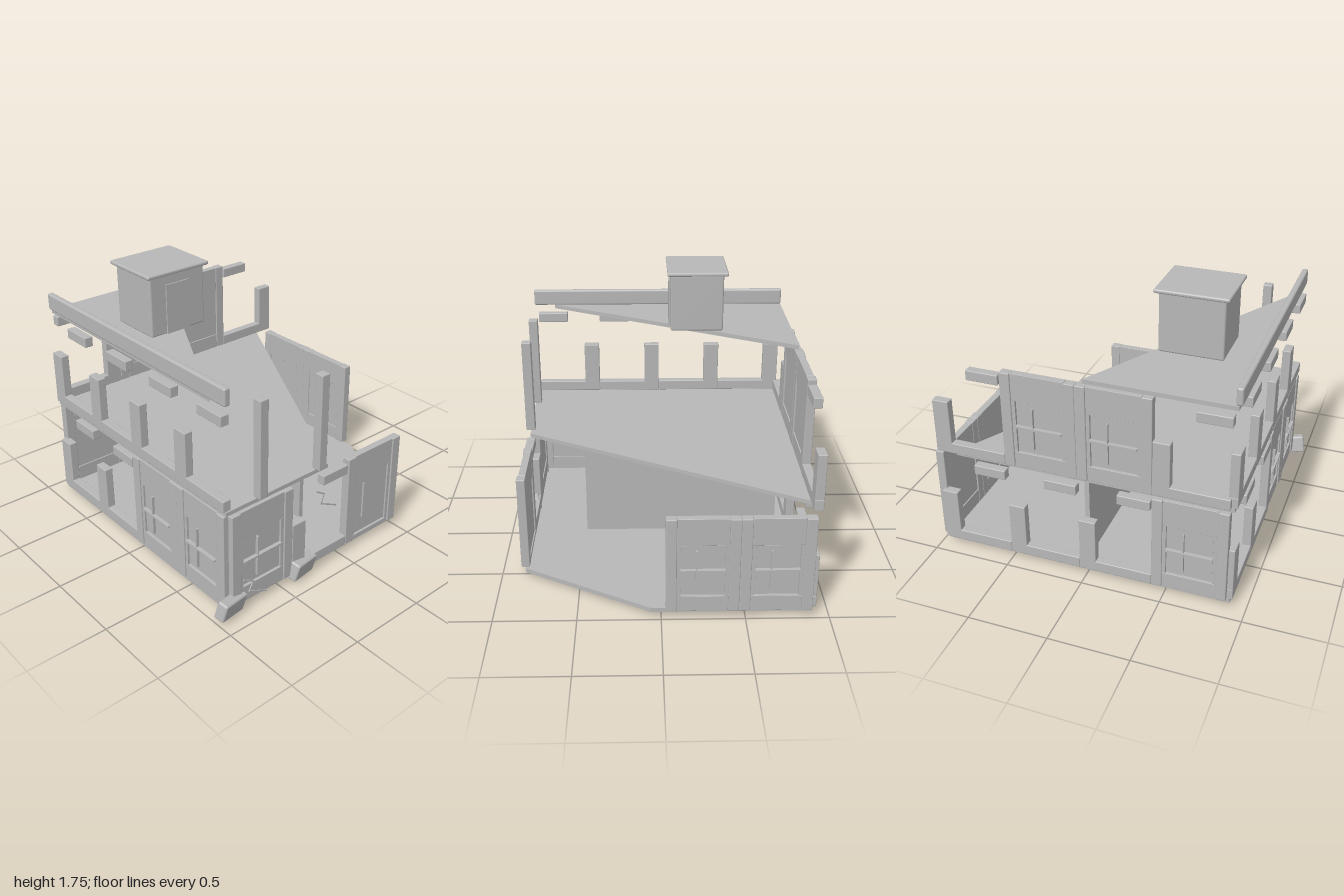
import * as THREE from 'three';
import { RoundedBoxGeometry } from 'three/addons/geometries/RoundedBoxGeometry.js';

const concrete = new THREE.MeshStandardMaterial({ color: 0xb8b8b8 });
concrete.name = 'concrete grey';

// Softly bevelled block, given by centre and size
function block(parent, name, [x, y, z], [w, h, d], bevel = 0.005) {
  const geo = bevel
    ? new RoundedBoxGeometry(w, h, d, 2, Math.min(bevel, w * 0.45, h * 0.45, d * 0.45))
    : new THREE.BoxGeometry(w, h, d);
  const mesh = new THREE.Mesh(geo, concrete);
  mesh.name = name;
  mesh.position.set(x, y, z);
  parent.add(mesh);
  return mesh;
}

// Floor plate from an outline of [x, z] points
function slab(parent, name, outline, y, thick) {
  const shape = new THREE.Shape(outline.map(([x, z]) => new THREE.Vector2(x, -z)));
  const geo = new THREE.ExtrudeGeometry(shape, { depth: thick, bevelEnabled: false });
  geo.rotateX(-Math.PI / 2);
  const mesh = new THREE.Mesh(geo, concrete);
  mesh.name = name;
  mesh.position.y = y;
  parent.add(mesh);
}

const WALL = 0.055, STOREY = 0.62, PIER = 0.065;

// Bay types; local x runs rightwards seen from outside, z points outwards
const bays = {
  window(g, w) { framedBay(g, w, 0.1, true); },
  door(g, w) { framedBay(g, w, 0.03, false); },
  ruin(g, w) {
    block(g, 'brokenSill', [0, 0.035, 0], [w, 0.07, WALL]);
    block(g, 'brokenPier', [-w / 2 + 0.054, 0.177, 0], [0.105, 0.354, WALL]);
    block(g, 'hangingLintel', [w / 2 - 0.112, 0.562, 0], [0.205, 0.064, WALL]);
  },
  post(g) {
    block(g, 'loosePost', [0, STOREY / 2, 0], [0.06, STOREY, 0.06]);
  },
};

// Complete bay: two piers, spandrel, header and a recessed infill
function framedBay(g, w, sill, isWindow) {
  const inner = w - 2 * PIER, top = 0.445, mid = (sill + top) / 2, high = top - sill;
  for (const s of [-1, 1]) {
    block(g, 'pier', [s * (w - PIER) / 2, STOREY / 2, 0], [PIER, STOREY, WALL]);
  }
  block(g, 'spandrel', [0, sill / 2, -0.003], [inner, sill, 0.045], 0.002);
  block(g, 'header', [0, (STOREY + top) / 2, -0.003], [inner, STOREY - top, 0.045], 0.002);
  block(g, 'infill', [0, mid, -0.008], [inner, high, 0.02], 0);
  // Side jambs around the opening
  for (const s of [-1, 1]) {
    block(g, 'jamb', [s * (inner / 2 - 0.011), mid, 0.006], [0.022, high, 0.025], 0);
  }
  if (isWindow) {
    block(g, 'glazing', [0, mid, 0.004], [inner - 0.05, high - 0.015, 0.008], 0);
    block(g, 'crossBar', [0, mid + 0.005, 0.018], [inner - 0.044, 0.012, 0.028], 0);
    block(g, 'uprightBar', [-0.037, mid, 0.014], [0.01, 0.27, 0.024], 0);
  } else {
    block(g, 'doorLeaf', [0, mid, 0.004], [inner - 0.05, high - 0.01, 0.012], 0);
    block(g, 'doorBar', [-0.075, 0.265, 0.014], [0.009, 0.25, 0.016], 0);
  }
}

function wall(parent, name, [x, y, z], turn, bayWidth, types) {
  const g = new THREE.Group();
  g.name = name;
  g.position.set(x, y, z);
  g.rotation.y = turn;
  types.forEach((type, i) => {
    if (!type) return;
    const bay = new THREE.Group();
    bay.name = type + 'Bay';
    bay.position.x = (i - 1.5) * bayWidth;
    bays[type](bay, bayWidth);
    g.add(bay);
  });
  parent.add(g);
}

// Jagged line of thin strips on the front face
function crack(parent, points) {
  const g = new THREE.Group();
  g.name = 'crack';
  for (let i = 1; i < points.length; i++) {
    const [ax, ay] = points[i - 1], [bx, by] = points[i];
    const strip = block(g, 'crackStrip', [(ax + bx) / 2, (ay + by) / 2, 0.884],
      [Math.hypot(bx - ax, by - ay) + 0.004, 0.008, 0.008], 0);
    strip.rotation.z = Math.atan2(by - ay, bx - ax);
  }
  parent.add(g);
}

export function createModel() {
  const model = new THREE.Group();
  model.name = 'ruinedBuilding';

  // Floor plates, each broken off along a diagonal
  slab(model, 'groundSlab',
    [[-0.9, -0.895], [-0.9, 0.85], [0.52, 0.85], [0.96, 0.06], [0.96, -0.895]], 0.032, 0.03);
  slab(model, 'upperSlab',
    [[-0.9, -0.895], [-0.9, 0.85], [-0.115, 0.85], [0.845, -0.895]], 0.682, 0.026);
  slab(model, 'roofSlab',
    [[-0.89, -0.895], [-0.89, 0.72], [0, -0.895]], 1.335, 0.027);

  // Walls of both storeys
  const BX = 0.46, BZ = 0.435, Y1 = 0.06, Y2 = 0.71, H = Math.PI / 2;
  const front = y => [0.04, y, 0.852], back = y => [0.04, y, -0.897];
  const left = y => [-0.888, y, -0.025], right = y => [0.967, y, -0.025];
  wall(model, 'frontWallLower', front(Y1), 0, BX, ['window', 'ruin', 'door', null]);
  wall(model, 'backWallLower', back(Y1), Math.PI, BX, ['ruin', 'ruin', 'ruin', 'window']);
  wall(model, 'rightSideWallLower', left(Y1), -H, BZ, ['ruin', 'ruin', 'window', 'window']);
  wall(model, 'leftSideWallLower', right(Y1), H, BZ, [null, null, 'window', 'window']);
  wall(model, 'frontWallUpper', front(Y2), 0, BX, ['post', 'post', null, null]);
  wall(model, 'backWallUpper', back(Y2), Math.PI, BX, ['ruin', 'window', 'window', 'ruin']);
  wall(model, 'rightSideWallUpper', left(Y2), -H, BZ, ['ruin', 'ruin', 'ruin', 'ruin']);

  // Inner partition
  block(model, 'partition', [0.035, 0.371, -0.155], [0.03, 0.622, 1.27], 0);

  // Roof parapet and stair hut
  block(model, 'parapet', [-0.89, 1.418, -0.018], [0.04, 0.108, 1.76], 0.012);
  block(model, 'roofHut', [-0.483, 1.552, -0.262], [0.395, 0.375, 0.345], 0.012);
  block(model, 'hutCap', [-0.483, 1.749, -0.265], [0.445, 0.025, 0.395], 0.01);
  block(model, 'hutDoor', [-0.485, 1.522, -0.086], [0.17, 0.31, 0.009], 0);

  // Cracks
  crack(model, [[-0.8, 0.22], [-0.73, 0.18], [-0.76, 0.12], [-0.63, 0.06]]);
  crack(model, [[-0.24, 0.58], [-0.175, 0.54], [-0.2, 0.48], [-0.07, 0.415]]);

  // Fallen rubble at the foot of the front wall
  for (const x of [-0.89, -0.33]) {
    const rubble = block(model, 'rubble', [x, 0.082, 0.873], [0.2, 0.12, 0.07], 0.012);
    rubble.rotation.set(0.22, 0.2, -0.18);
  }
  return model;
}
